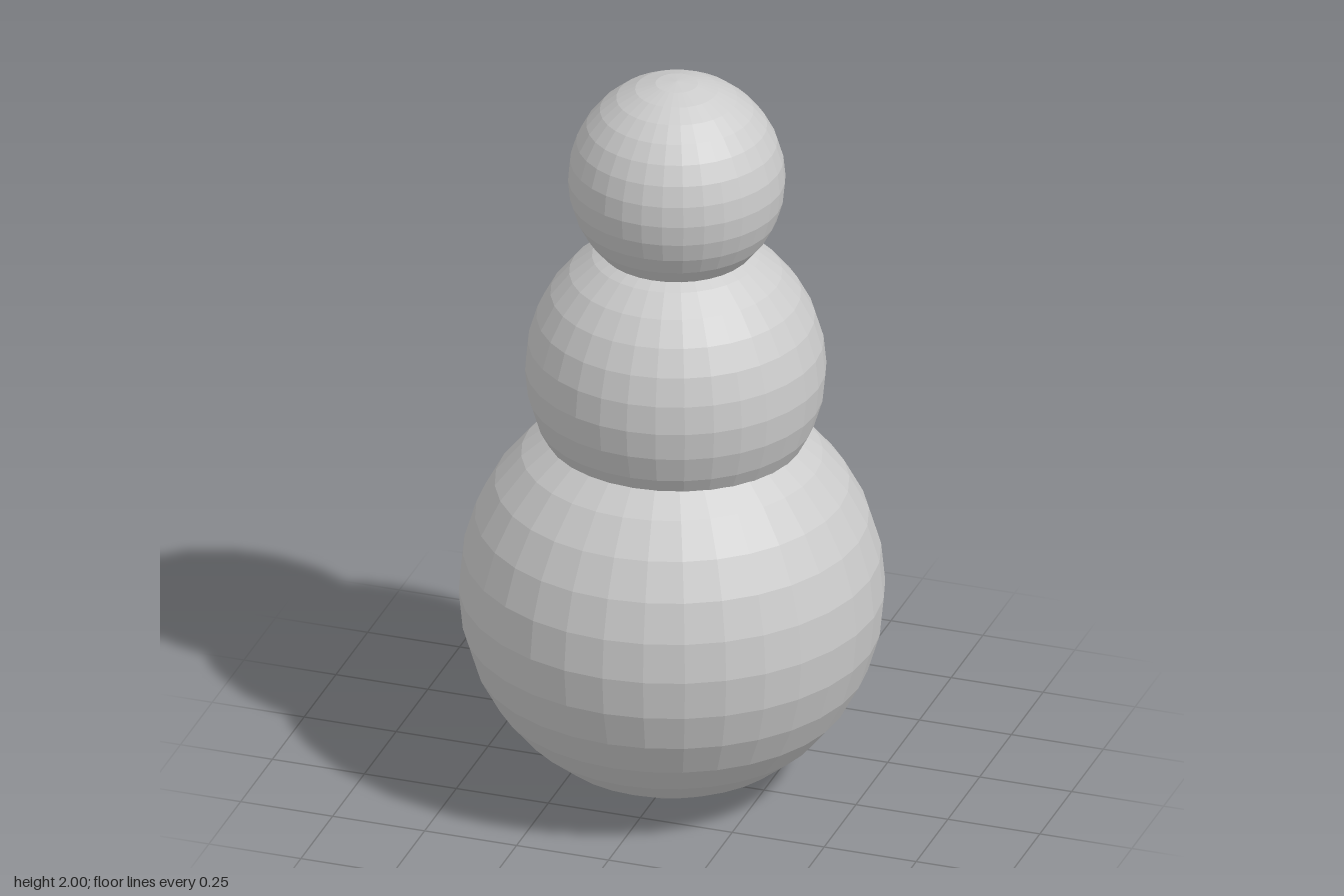
import * as THREE from 'three';

// Three stacked, faceted balls; the upper two sit slightly off centre
const BALLS = [
  { name: 'bottomBall', radius: 0.549, position: [0, 0.55, 0] },
  { name: 'middleBall', radius: 0.388, position: [0.005, 1.18, -0.015] },
  { name: 'headBall', radius: 0.28, position: [0.005, 1.72, -0.023] },
];

export function createModel() {
  const model = new THREE.Group();
  model.name = 'snowman';
  const material = new THREE.MeshStandardMaterial({ color: 0xcccccc, flatShading: true });

  for (const { name, radius, position } of BALLS) {
    const ball = new THREE.Mesh(new THREE.SphereGeometry(radius, 32, 16), material);
    ball.name = name;
    ball.position.set(...position);
    model.add(ball);
  }
  return model;
}
